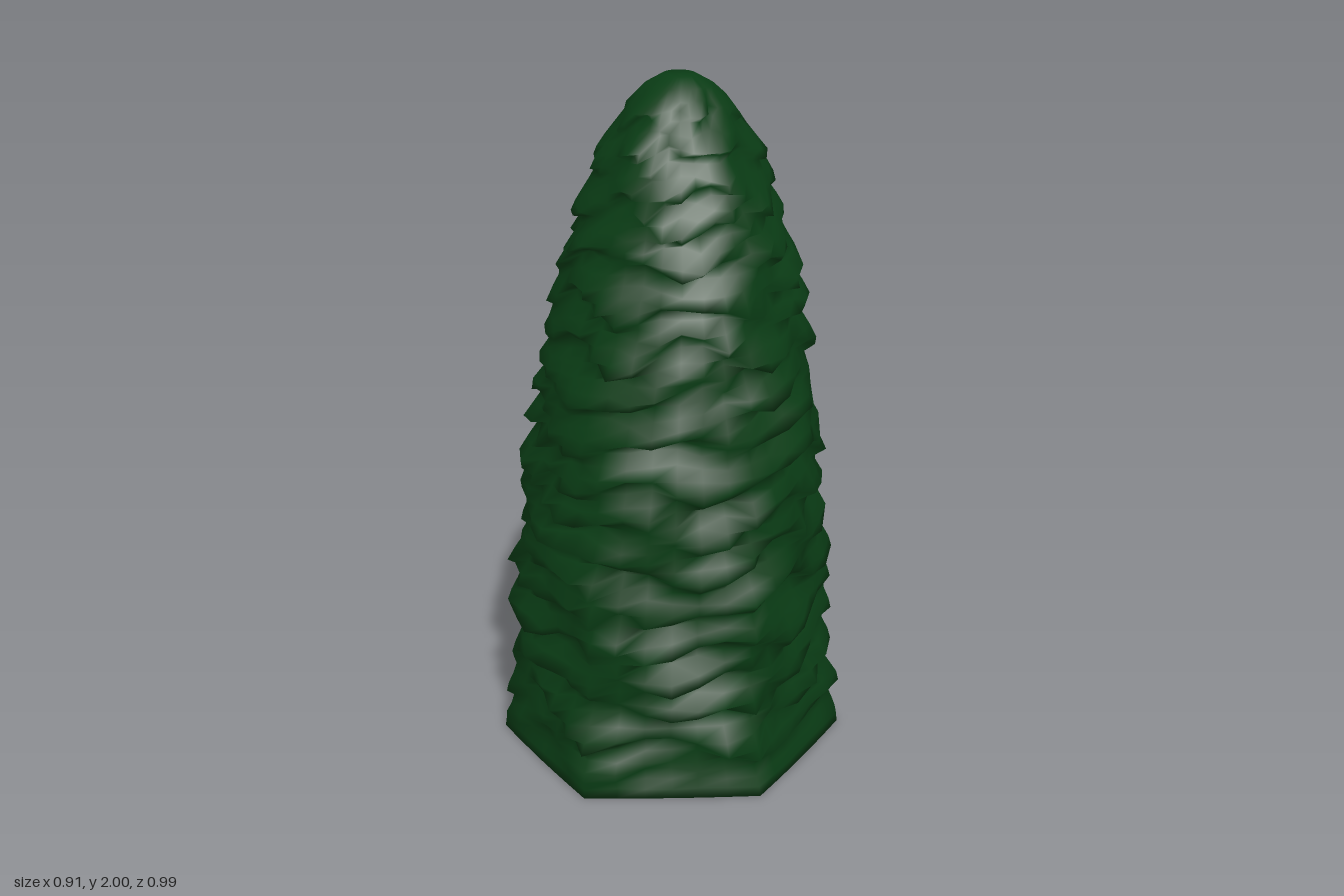
import * as THREE from 'three';

const leafGreen = new THREE.MeshStandardMaterial({ color: 0x0a3c15 });

// Outline: height, half width along x, half depth along z
const profile = [
  [0, 0.445, 0.495], [0.1, 0.43, 0.465], [0.25, 0.42, 0.45], [0.6, 0.42, 0.44], [0.9, 0.402, 0.43],
  [1.1, 0.382, 0.4], [1.3, 0.35, 0.37], [1.5, 0.31, 0.325], [1.65, 0.268, 0.275],
  [1.8, 0.21, 0.215], [1.92, 0.14, 0.14], [1.98, 0.085, 0.09], [2, 0.045, 0.05],
];

function outline(y) {
  const i = Math.max(1, profile.findIndex((p) => p[0] >= y));
  const [a, b] = [profile[i - 1], profile[i]];
  const t = (y - a[0]) / (b[0] - a[0]);
  return [1, 2].map((k) => THREE.MathUtils.lerp(a[k], b[k], t));
}

// Unit hexagon with corners on the z axis (flat sides reach x = 0.866)
function hexRadius(angle) {
  const sector = Math.PI / 3;
  const off = ((angle % sector) + sector) % sector - sector / 2;
  return Math.cos(sector / 2) / Math.cos(off);
}

// Drooping layers of foliage: rounded lips broken into uneven clumps
function foliage(angle, y) {
  const sway = 0.3 * Math.sin(2 * angle + 4.1 * y) + 0.3 * Math.sin(5 * angle - 5.3 * y + 1)
    + 0.16 * Math.sin(7 * angle + 9.7 * y + 2);
  const phase = y * 8.8 + sway + angle / (2 * Math.PI);
  const f = phase - Math.floor(phase);
  const lip = f < 0.35 ? f / 0.35 : (1 - f) / 0.65;
  const round = lip * lip * (3 - 2 * lip);
  const patch = 0.7 + 0.3 * Math.sin(4 * angle + 11 * y + 2 * Math.sin(angle));
  const lumps = 0.009 * Math.sin(6 * angle + 15 * y) + 0.006 * Math.sin(9 * angle - 21 * y);
  return (round - 0.5) * 0.058 * patch + lumps;
}

// Rings of vertices from the ground to the tip, plus a closing cap at each end
function foliageGeometry(sides, rows) {
  const pos = [], index = [];
  for (let j = 0; j <= rows; j++) {
    const y = (2 * j) / rows;
    const [w, d] = outline(y);
    // hexagonal at the ground, rounder toward the tip
    const hex = THREE.MathUtils.lerp(0.92, 0.2, THREE.MathUtils.smoothstep(y, 0, 1.1));
    const rough = Math.min(1, y / 0.15) * Math.min(1, (2 - y) / 0.12);
    const lean = 0.025 * THREE.MathUtils.smoothstep(y, 0.8, 1.6);
    for (let i = 0; i < sides; i++) {
      const a = (i / sides) * Math.PI * 2;
      const h = hexRadius(a);
      const bump = foliage(a, y) * rough;
      const rx = THREE.MathUtils.lerp(w, (w / 0.866) * h, hex) + bump;
      const rz = THREE.MathUtils.lerp(d, d * h, hex) + bump;
      const droop = bump * -0.7 * rough;
      pos.push(Math.sin(a) * rx + lean, y + droop, Math.cos(a) * rz);
    }
  }
  for (let j = 0; j < rows; j++) {
    for (let i = 0; i < sides; i++) {
      const a = j * sides + i, b = j * sides + ((i + 1) % sides);
      index.push(a, b, b + sides, a, b + sides, a + sides);
    }
  }
  const tip = pos.length / 3;
  pos.push(0.02, 2, 0);
  for (let i = 0; i < sides; i++) {
    index.push(rows * sides + i, rows * sides + ((i + 1) % sides), tip);
  }
  const base = tip + 1;
  pos.push(0, 0, 0);
  for (let i = 0; i < sides; i++) index.push((i + 1) % sides, i, base);

  const geometry = new THREE.BufferGeometry();
  geometry.setAttribute('position', new THREE.Float32BufferAttribute(pos, 3));
  geometry.setIndex(index);
  geometry.computeVertexNormals();
  return geometry;
}

export function createModel() {
  const tree = new THREE.Group();
  tree.name = 'coniferBush';
  const foliageMesh = new THREE.Mesh(foliageGeometry(36, 76), leafGreen);
  foliageMesh.name = 'foliage';
  tree.add(foliageMesh);
  return tree;
}
